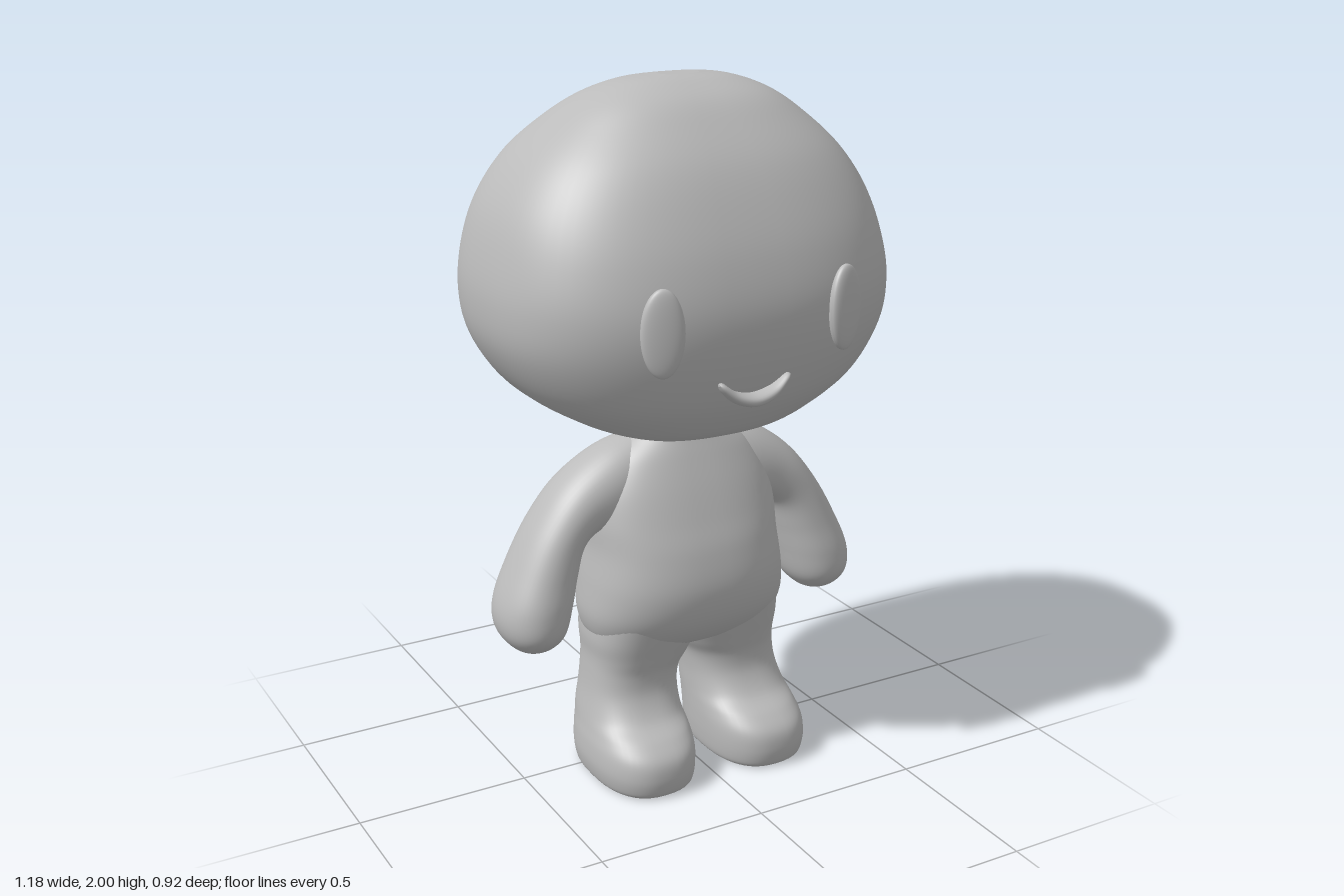
import * as THREE from 'three';

const paint = new THREE.MeshStandardMaterial({ color: 0xbbbbbb });
paint.name = 'plain grey';

// Smooth curve through the values p1 and p2
const spline = (p0, p1, p2, p3, t) =>
  p1 + 0.5 * t * (p2 - p0 + t * (2 * p0 - 5 * p1 + 4 * p2 - p3 + t * (3 * (p1 - p2) + p3 - p0)));

// Lofted solid. Each row is one rounded cross-section: [ax, ay, bx, by, zBack, zFront],
// spanning from point a to point b in the xy plane and from zBack to zFront.
function loft(rows, power = 2.5, segments = 48, steps = 6) {
  const row = (i) => rows[Math.min(Math.max(i, 0), rows.length - 1)];
  const pos = [], index = [];
  const rings = (rows.length - 1) * steps;
  const bend = (v) => Math.sign(v) * Math.abs(v) ** (2 / power);
  for (let r = 0; r <= rings; r++) {
    const k = Math.min(Math.floor(r / steps), rows.length - 2);
    const t = r / steps - k;
    const [ax, ay, bx, by, zb, zf] = row(k).map((v, c) =>
      spline(row(k - 1)[c], v, row(k + 1)[c], row(k + 2)[c], t));
    for (let i = 0; i < segments; i++) {
      const angle = (i / segments) * Math.PI * 2;
      const u = bend(Math.cos(angle)) / 2, w = bend(Math.sin(angle)) / 2;
      pos.push((ax + bx) / 2 + (bx - ax) * u, (ay + by) / 2 + (by - ay) * u, (zb + zf) / 2 + (zf - zb) * w);
    }
  }
  for (let r = 0; r < rings; r++) {
    for (let i = 0; i < segments; i++) {
      const j = (i + 1) % segments;
      const a = r * segments + i, b = r * segments + j;
      index.push(a, a + segments, b, b, a + segments, b + segments);
    }
  }
  // flat end caps with their own vertices
  for (const end of [0, rings]) {
    const start = pos.length / 3, first = end * segments * 3;
    const ring = pos.slice(first, first + segments * 3);
    pos.push(...ring);
    for (let c = 0; c < 3; c++) {
      let sum = 0;
      for (let i = 0; i < segments; i++) sum += ring[i * 3 + c];
      pos.push(sum / segments);
    }
    for (let i = 0; i < segments; i++) {
      const a = start + i, b = start + ((i + 1) % segments), mid = start + segments;
      if (end === 0) index.push(mid, a, b);
      else index.push(mid, b, a);
    }
  }
  const geometry = new THREE.BufferGeometry();
  geometry.setAttribute('position', new THREE.Float32BufferAttribute(pos, 3));
  geometry.setIndex(index);
  geometry.computeVertexNormals();
  return geometry;
}

// Symmetric cross-section: height, half width, back, front
const level = ([y, w, zb, zf]) => [-w, y, w, y, zb, zf];
// Other side of the body
const mirror = ([ax, ay, bx, by, zb, zf]) => [-bx, by, -ax, ay, zb, zf];

const HEAD = [
  [1.027, 0.08, -0.05, 0.12], [1.036, 0.17, -0.11, 0.21], [1.06, 0.26, -0.19, 0.29],
  [1.105, 0.365, -0.28, 0.345], [1.19, 0.49, -0.37, 0.403], [1.315, 0.57, -0.435, 0.445],
  [1.44, 0.59, -0.459, 0.457], [1.57, 0.572, -0.45, 0.432], [1.69, 0.53, -0.41, 0.385],
  [1.80, 0.455, -0.35, 0.325], [1.89, 0.355, -0.26, 0.25], [1.95, 0.265, -0.175, 0.185],
  [1.987, 0.165, -0.09, 0.11], [2.0, 0.06, -0.02, 0.055],
];

const TORSO = [
  [0.36, 0.08, -0.04, 0.05], [0.372, 0.19, -0.09, 0.11], [0.405, 0.275, -0.14, 0.175],
  [0.48, 0.308, -0.18, 0.233], [0.58, 0.304, -0.195, 0.256], [0.69, 0.29, -0.183, 0.24],
  [0.78, 0.288, -0.167, 0.21], [0.87, 0.268, -0.147, 0.177], [0.95, 0.22, -0.127, 0.143],
  [1.0, 0.16, -0.115, 0.12], [1.025, 0.125, -0.11, 0.11], [1.06, 0.11, -0.1, 0.1],
];

// Outer edge first, inner edge second, from shoulder to hand
const ARM = [
  [0.08, 1.02, 0.06, 0.80, -0.09, 0.09], [0.23, 0.983, 0.17, 0.75, -0.112, 0.112],
  [0.36, 0.90, 0.26, 0.745, -0.115, 0.112], [0.455, 0.785, 0.31, 0.715, -0.117, 0.115],
  [0.525, 0.66, 0.335, 0.64, -0.123, 0.127], [0.566, 0.56, 0.355, 0.56, -0.125, 0.14],
  [0.565, 0.487, 0.378, 0.48, -0.115, 0.135], [0.53, 0.436, 0.412, 0.436, -0.072, 0.092],
  [0.485, 0.416, 0.445, 0.416, -0.02, 0.035],
];

// Inner edge first, from sole to hip: y, inner, outer, back, front
const LEG = [
  [0, 0.055, 0.315, -0.11, 0.285], [0.015, 0.042, 0.328, -0.121, 0.298],
  [0.06, 0.036, 0.336, -0.127, 0.305], [0.11, 0.034, 0.333, -0.13, 0.295],
  [0.15, 0.034, 0.325, -0.13, 0.255], [0.19, 0.034, 0.317, -0.128, 0.195],
  [0.25, 0.032, 0.305, -0.122, 0.158], [0.31, 0.022, 0.298, -0.121, 0.152],
  [0.36, -0.005, 0.295, -0.13, 0.165], [0.42, -0.03, 0.298, -0.145, 0.185],
  [0.50, -0.03, 0.29, -0.16, 0.21],
].map(([y, inner, outer, zb, zf]) => [inner, y, outer, y, zb, zf]);

// Crescent from one corner to the other: x, top, bottom, front
const MOUTH = [
  [-0.108, 1.258, 1.25, 0.436], [-0.095, 1.258, 1.23, 0.446], [-0.055, 1.229, 1.195, 0.454],
  [0, 1.216, 1.181, 0.458],
  [0.055, 1.229, 1.195, 0.454], [0.095, 1.258, 1.23, 0.446], [0.108, 1.258, 1.25, 0.436],
].map(([x, top, bottom, zf]) => [x, top, x, bottom, 0.39, zf]);

// Pill-shaped eye with a flattened face
function eyeGeometry() {
  const geometry = new THREE.SphereGeometry(1, 40, 28);
  const p = geometry.attributes.position;
  for (let i = 0; i < p.count; i++) {
    const z = p.getZ(i);
    p.setZ(i, Math.sign(z) * Math.abs(z) ** 0.7);
  }
  geometry.scale(0.058, 0.117, 0.022);
  geometry.computeVertexNormals();
  return geometry;
}

export function createModel() {
  const model = new THREE.Group();
  model.name = 'figure';
  const add = (name, geometry) => {
    const mesh = new THREE.Mesh(geometry, paint);
    mesh.name = name;
    model.add(mesh);
    return mesh;
  };

  add('head', loft(HEAD.map(level), 2.6, 72));
  add('torso', loft(TORSO.map(level), 2.4, 64));
  add('mouth', loft(MOUTH, 2.3, 24));

  for (const [side, s] of [['left', 1], ['right', -1]]) {
    const place = (rows) => (s > 0 ? rows : rows.map(mirror));
    add(side + 'Arm', loft(place(ARM), 2.2));
    add(side + 'Leg', loft(place(LEG), 2.5));
    const eye = add(side + 'Eye', eyeGeometry());
    eye.position.set(s * 0.275, 1.415, 0.434);
    eye.rotation.y = s * 0.3;
  }
  return model;
}
